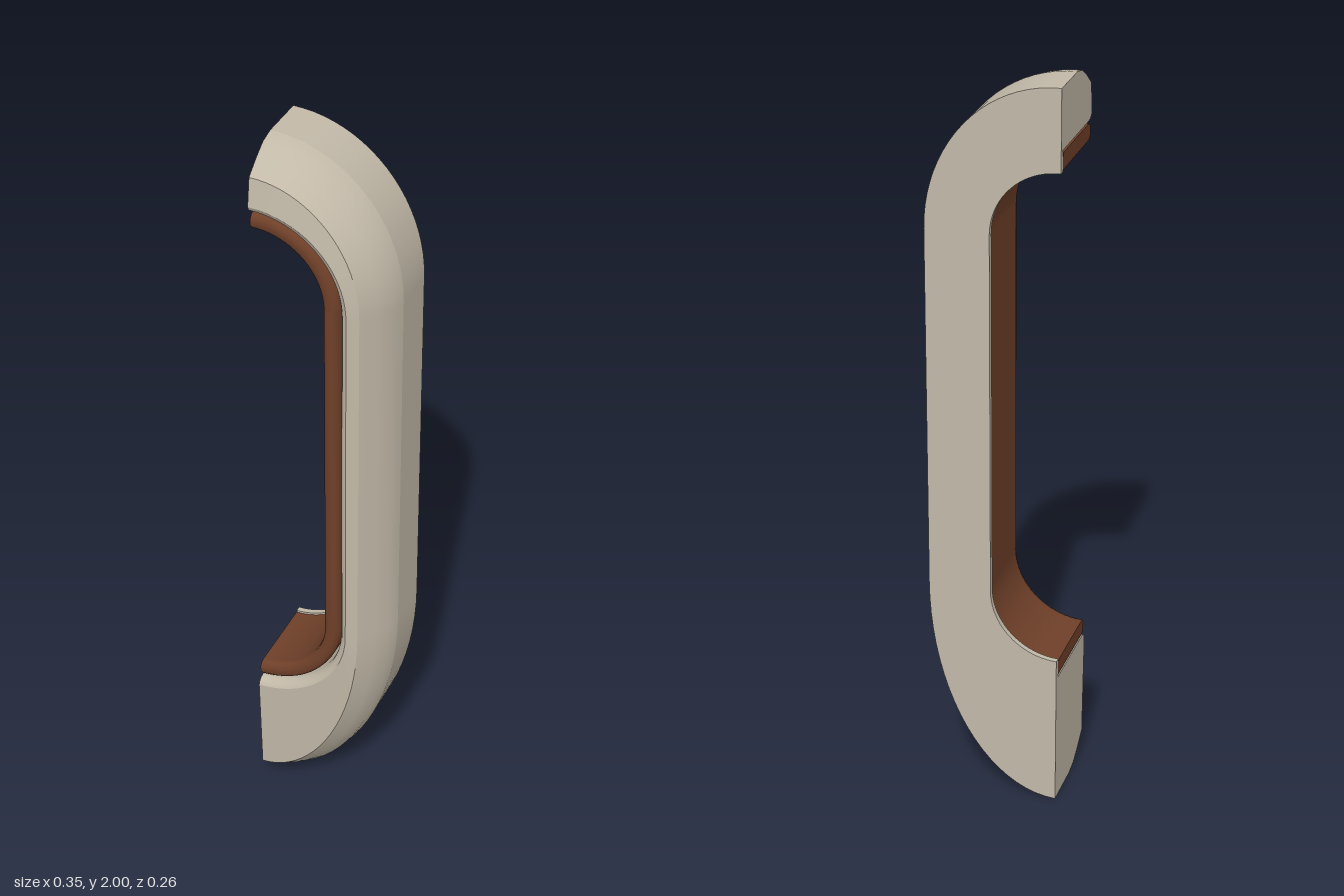
import * as THREE from 'three';
import { mergeGeometries } from 'three/addons/utils/BufferGeometryUtils.js';

const CX = -0.175, TOP = 1.605, LOW = 0.61, RX = 0.35;

// Stations along the C-shaped path: top arc, straight grip, bottom arc
function makeStations(n = 20) {
  const list = [];
  for (let i = 0; i <= n; i++) list.push({ a: (Math.PI / 2) * (1 - i / n), cy: TOP, ry: 2 - TOP });
  for (let i = 0; i <= n; i++) list.push({ a: (-Math.PI / 2) * (i / n), cy: LOW, ry: LOW });
  return list;
}

// Point on the inner round, at radius r
const ring = (r, z) => (s) =>
  new THREE.Vector3(CX + r * Math.cos(s.a), s.cy + r * Math.sin(s.a), z);

// Point set in from the outer elliptical edge, measured along its normal
const rim = (inset, z) => (s) => {
  const c = Math.cos(s.a), d = Math.sin(s.a);
  const n = new THREE.Vector2(c / RX, d / s.ry).normalize();
  return new THREE.Vector3(CX + RX * c - inset * n.x, s.cy + s.ry * d - inset * n.y, z);
};

// One smooth strip swept along all stations
function strip(points, stations) {
  const pos = [], index = [], m = points.length;
  stations.forEach((s, i) => {
    points.forEach((p, j) => {
      pos.push(...p(s).toArray());
      if (i && j) {
        const d = i * m + j, c = d - 1, b = d - m, a = b - 1;
        index.push(a, b, c, b, d, c);
      }
    });
  });
  return finish(pos, index);
}

// Flat end face, facing -x
function cap(points, station) {
  const pts = points.map((p) => p(station));
  const flat = pts.map((p) => new THREE.Vector2(p.z, p.y));
  const pos = pts.flatMap((p) => p.toArray());
  const index = [];
  for (const [a, b, c] of THREE.ShapeUtils.triangulateShape(flat, [])) {
    const turn = flat[b].clone().sub(flat[a]).cross(flat[c].clone().sub(flat[a]));
    index.push(...(turn > 0 ? [a, b, c] : [a, c, b]));
  }
  return finish(pos, index);
}

function finish(pos, index) {
  const g = new THREE.BufferGeometry();
  g.setAttribute('position', new THREE.Float32BufferAttribute(pos, 3));
  g.setIndex(index);
  g.computeVertexNormals();
  return g;
}

// Sweep a closed section given as smooth runs that share their end points
function sweep(name, runs, material) {
  const stations = makeStations();
  const outline = runs.flatMap((r) => r.slice(0, -1));
  const parts = runs.map((r) => strip(r, stations));
  parts.push(cap(outline, stations[0]), cap(outline, stations[stations.length - 1]));
  const mesh = new THREE.Mesh(mergeGeometries(parts), material);
  mesh.name = name;
  return mesh;
}

export function createModel() {
  const stone = new THREE.MeshStandardMaterial({ color: 0xc2b9a8 });
  stone.name = 'warm grey';
  const brown = new THREE.MeshStandardMaterial({ color: 0x6f4029 });
  brown.name = 'brown';

  const group = new THREE.Group();
  group.name = 'handle';

  // Body: rounded outside, sloped front face, inner wall with a lip at the back
  const back = rim(0, -0.131), crease = rim(0.065, 0.12), edge = ring(0.255, 0.131);
  const wallTop = ring(0.236, 0.105), wallLow = ring(0.236, -0.115);
  const lipIn = ring(0.181, -0.115), lipBack = ring(0.181, -0.131);
  group.add(sweep('handleBody', [
    [back, rim(0, 0)],
    [rim(0, 0), rim(0.009, 0.04), rim(0.034, 0.08), crease],
    [crease, edge],
    [edge, ring(0.244, 0.126), ring(0.238, 0.117), wallTop],
    [wallTop, wallLow],
    [wallLow, lipIn],
    [lipIn, lipBack],
    [lipBack, back],
  ], stone));

  // Grip liner: thin band with a rounded front edge, seated on the lip
  const outBack = ring(0.229, -0.114), outFront = ring(0.229, 0.1);
  const inFront = ring(0.186, 0.1), inBack = ring(0.186, -0.114);
  group.add(sweep('gripLiner', [
    [outBack, outFront],
    [outFront, ring(0.226, 0.112), ring(0.216, 0.119), ring(0.199, 0.119), ring(0.189, 0.112), inFront],
    [inFront, inBack],
    [inBack, outBack],
  ], brown));

  return group;
}
